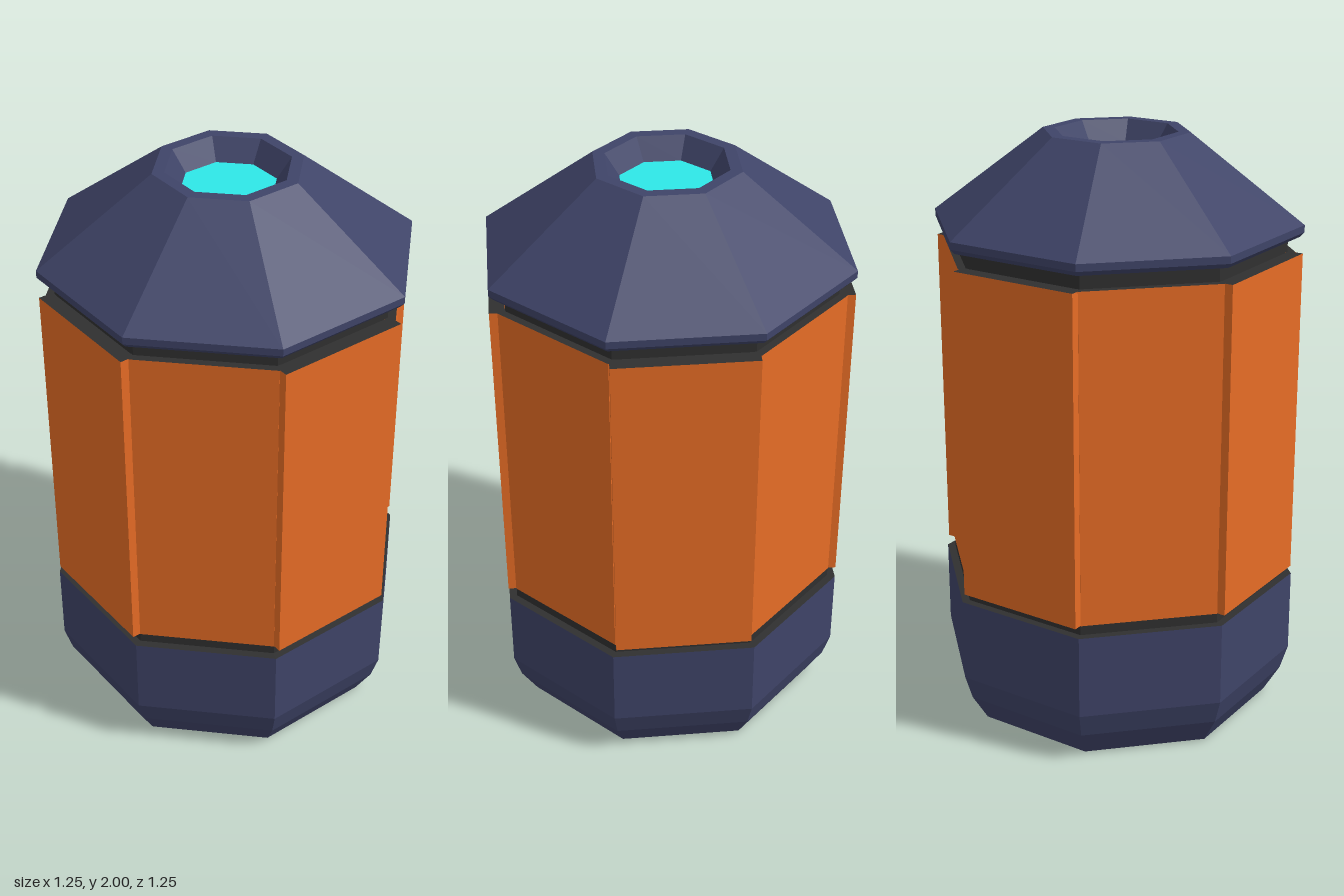
import * as THREE from 'three';

const SIDES = 8;

function material(name, color) {
  const m = new THREE.MeshStandardMaterial({ color });
  m.name = name;
  m.flatShading = true;
  return m;
}

export function createModel() {
  const navy = material('navy', 0x3f4468);
  const orange = material('orange', 0xea6e26);
  const charcoal = material('charcoal', 0x303030);
  const grey = material('grey', 0x8f8b9c);
  const teal = material('teal', 0x2ee8e8);

  const group = new THREE.Group();
  group.name = 'canister';

  function add(name, geometry, mat) {
    const mesh = new THREE.Mesh(geometry, mat);
    mesh.name = name;
    group.add(mesh);
  }

  // Octagonal turned part from [radius, height] pairs, listed bottom to top
  function turned(name, profile, mat) {
    const points = profile.map(([r, y]) => new THREE.Vector2(r, y));
    add(name, new THREE.LatheGeometry(points, SIDES), mat);
  }

  // Flat octagonal plate facing up or down
  function disc(name, radius, y, mat, up) {
    const geometry = new THREE.CircleGeometry(radius, SIDES);
    geometry.rotateX(up ? -Math.PI / 2 : Math.PI / 2);
    geometry.translate(0, y, 0);
    add(name, geometry, mat);
  }

  // Base with rounded-off foot and a dark shoulder
  turned('base', [[0.54, 0], [0.597, 0.095], [0.623, 0.18], [0.623, 0.467]], navy);
  turned('baseShoulder', [[0.623, 0.467], [0.5, 0.467]], charcoal);
  disc('baseBottom', 0.54, 0, grey, false);

  // Dark core that shows in the grooves above and below the panels
  turned('lowerCollar', [[0.595, 0.46], [0.595, 0.5], [0.5, 0.5]], charcoal);
  turned('core', [[0.57, 0.48], [0.57, 1.68]], charcoal);

  // Side panels, alternately proud and set back, with dark top and bottom edges
  const panelDepth = 0.05;
  const panelMaterials = [orange, orange, charcoal, charcoal, orange, orange];
  for (let i = 0; i < SIDES; i++) {
    const face = i % 2 ? 0.578 : 0.552;
    const geometry = new THREE.BoxGeometry(0.455, 1.12, panelDepth);
    geometry.translate(0, 1.06, face - panelDepth / 2);
    geometry.rotateY(((i + 0.5) * 2 * Math.PI) / SIDES);
    add('sidePanel', geometry, panelMaterials);
  }

  // Lid: dark underside, sloping roof and recessed opening
  turned('lidUnderside', [[0.55, 1.668], [0.608, 1.672]], charcoal);
  turned('lid', [
    [0.608, 1.672], [0.623, 1.688], [0.623, 1.712], [0.245, 2],
    [0.205, 2], [0.157, 1.93],
  ], navy);
  disc('lens', 0.157, 1.93, teal, true);

  return group;
}
